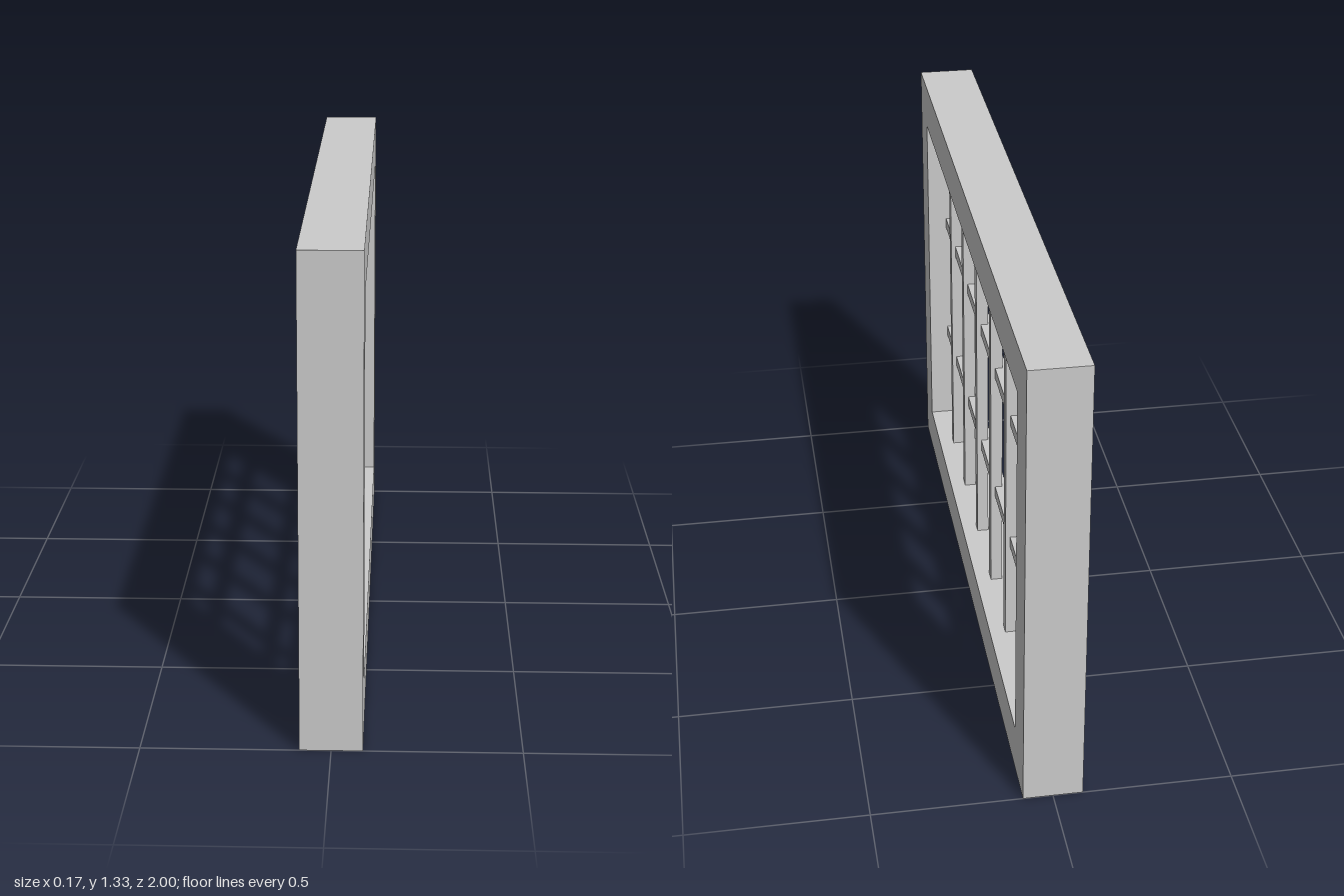
import * as THREE from 'three';

const H = 1.334, DEPTH = 0.166, BORDER = 0.133, BAR = 0.034;

export function createModel() {
  const group = new THREE.Group();
  const material = new THREE.MeshStandardMaterial({ color: 0xcccccc, flatShading: true });

  const add = (name, geometry, x, y, z) => {
    const mesh = new THREE.Mesh(geometry, material);
    mesh.name = name;
    mesh.position.set(x, y, z);
    group.add(mesh);
    return mesh;
  };

  // Outer frame: a rectangle with a rectangular opening, extruded along x
  const rect = (target, w, y0, y1) => target
    .moveTo(-w, y0).lineTo(w, y0).lineTo(w, y1).lineTo(-w, y1).closePath();
  const shape = rect(new THREE.Shape(), 1, 0, H);
  shape.holes.push(rect(new THREE.Path(), 1 - BORDER, BORDER + 0.003, H - BORDER));
  const frame = new THREE.ExtrudeGeometry(shape, { depth: DEPTH, bevelEnabled: false });
  frame.translate(0, 0, -DEPTH / 2).rotateY(Math.PI / 2);
  add('windowFrame', frame, 0, 0, 0);

  // Upright bars, on the +x side of the crossbars
  const upright = new THREE.BoxGeometry(BAR, H - 2 * BORDER, BAR);
  for (let i = 0; i < 6; i++) {
    add(`uprightBar${i + 1}`, upright, 0.021, H / 2, 0.668 - i * 0.27);
  }

  // Crossbars, let partly into the uprights
  const crossbar = new THREE.BoxGeometry(BAR, BAR, 2 * (1 - BORDER));
  [0.452, 0.854].forEach((y, i) => add(`crossbar${i + 1}`, crossbar, 0.008, y, 0));

  return group;
}
